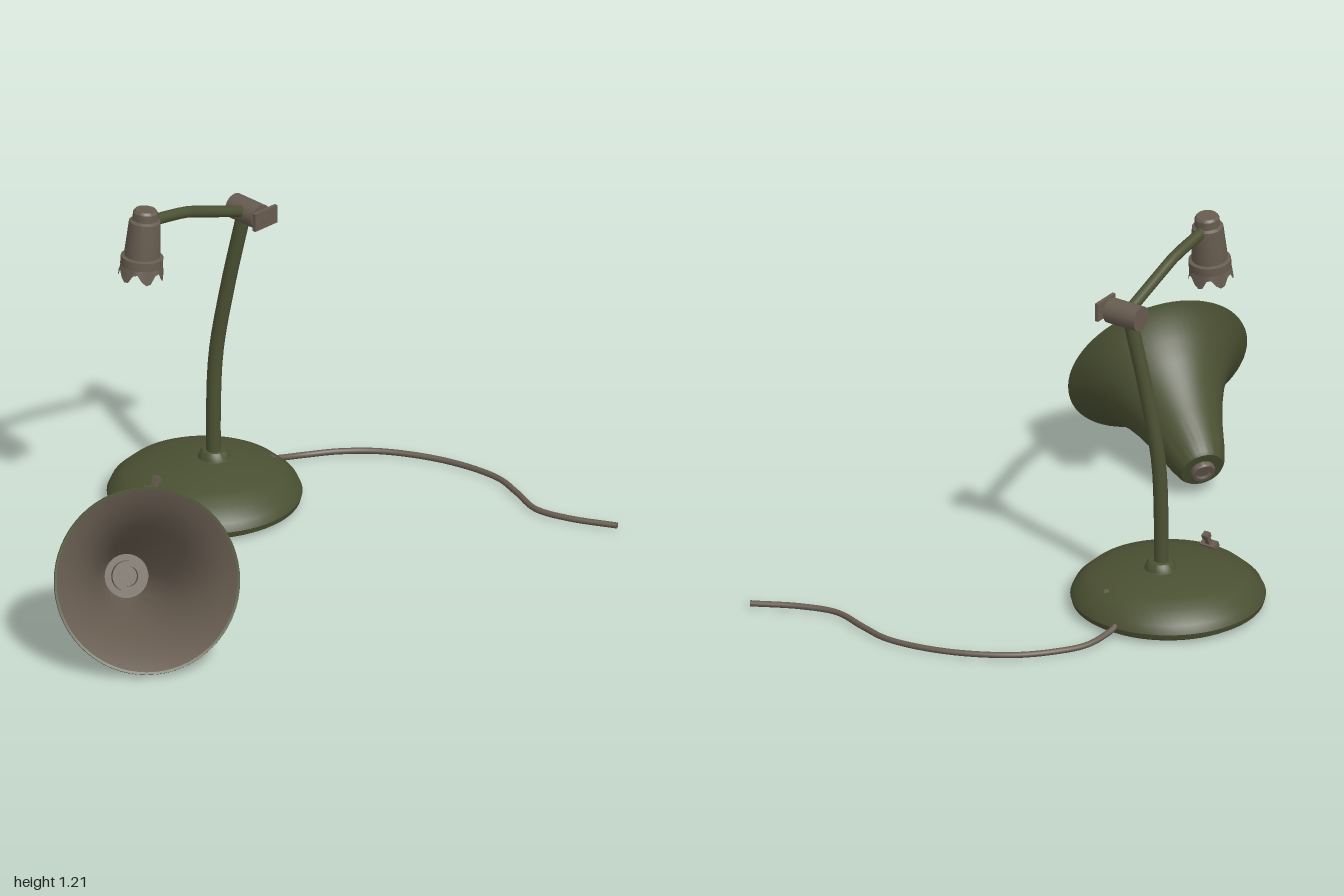
import * as THREE from 'three';
import { toCreasedNormals } from 'three/addons/utils/BufferGeometryUtils.js';

const V = (x, y, z) => new THREE.Vector3(x, y, z);

export function createModel() {
  const model = new THREE.Group();
  model.name = 'brokenDeskLamp';

  const green = new THREE.MeshStandardMaterial({ name: 'olive enamel', color: 0x4a5032 });
  const brown = new THREE.MeshStandardMaterial({ name: 'dull brown metal', color: 0x665b4f });
  const brownOpen = new THREE.MeshStandardMaterial({ name: 'dull brown open metal', color: 0x665b4f, side: THREE.DoubleSide });

  function add(parent, name, geometry, material, x = 0, y = 0, z = 0) {
    const mesh = new THREE.Mesh(geometry, material);
    mesh.name = name;
    mesh.position.set(x, y, z);
    parent.add(mesh);
    return mesh;
  }
  const lathe = (points, segments = 48, crease = 0.6) =>
    toCreasedNormals(new THREE.LatheGeometry(points.map(p => new THREE.Vector2(p[0], p[1])), segments), crease);
  const tube = (points, radius, steps, sides = 14) =>
    new THREE.TubeGeometry(new THREE.CatmullRomCurve3(points.map(p => V(...p))), steps, radius, sides);
  const up = V(0, 1, 0);

  // Weighted base: the dome leans back towards the stem
  const domeGeo = lathe([[0, 0.005], [0.29, 0.005], [0.31, 0.017], [0.315, 0.035], [0.303, 0.062],
    [0.26, 0.1], [0.2, 0.119], [0.1, 0.138], [0, 0.146]], 64);
  const pos = domeGeo.attributes.position;
  for (let i = 0; i < pos.count; i++) {
    const lift = Math.max(0, pos.getY(i) - 0.1) / 0.046;
    pos.setZ(i, pos.getZ(i) - 0.045 * lift);
  }
  add(model, 'base', domeGeo, green, -0.39, 0, -0.2);
  add(model, 'basePad', new THREE.CylinderGeometry(0.21, 0.21, 0.008, 48), brown, -0.39, 0.004, -0.2);
  add(model, 'stemCollar', lathe([[0.075, 0.13], [0.052, 0.143], [0.046, 0.16], [0.038, 0.168], [0, 0.168]], 32),
    green, -0.39, 0, -0.243);

  // Small stud on the back of the base
  const stud = add(model, 'baseStud', new THREE.SphereGeometry(0.032, 20, 10), brown, -0.31, 0.107, -0.41);
  stud.scale.y = 0.22;
  stud.quaternion.setFromUnitVectors(up, V(0.1, 1, -0.26).normalize());

  // Toggle switch on the front of the base
  const toggle = new THREE.Group();
  toggle.name = 'toggleSwitch';
  toggle.position.set(-0.39, 0.112, 0.035);
  toggle.rotation.x = -0.42;
  model.add(toggle);
  add(toggle, 'switchPlate', new THREE.BoxGeometry(0.056, 0.02, 0.03), brown);
  add(toggle, 'switchLever', new THREE.BoxGeometry(0.016, 0.05, 0.016), brown, 0, 0.028, 0);
  add(toggle, 'switchTip', new THREE.BoxGeometry(0.022, 0.018, 0.022), brown, 0, 0.043, 0);

  // Bent stem and forward arm
  add(model, 'stem', tube([[-0.39, 0.14, -0.24], [-0.39, 0.32, -0.24], [-0.384, 0.52, -0.246],
    [-0.35, 0.76, -0.264], [-0.3, 1.03, -0.288]], 0.024, 16), green);
  add(model, 'arm', tube([[-0.29, 1.045, -0.28], [-0.29, 1.115, -0.08], [-0.29, 1.135, -0.02],
    [-0.29, 1.162, 0.15]], 0.019, 10), green);

  // Elbow joint with its thumb plate
  const joint = add(model, 'elbowJoint', new THREE.CylinderGeometry(0.042, 0.042, 0.12, 24), brown, -0.29, 1.04, -0.295);
  joint.rotation.z = Math.PI / 2;
  const pin = add(model, 'elbowPin', new THREE.CylinderGeometry(0.014, 0.014, 0.04, 14), brown, -0.222, 1.042, -0.295);
  pin.rotation.z = Math.PI / 2;
  add(model, 'thumbPlate', new THREE.BoxGeometry(0.012, 0.062, 0.1), brown, -0.21, 1.044, -0.295);

  // Bulb socket with a jagged broken crown
  const socket = new THREE.Group();
  socket.name = 'bulbSocket';
  socket.position.set(-0.29, 1.09, 0.178);
  socket.rotation.x = -0.1;
  model.add(socket);
  add(socket, 'socketBody', lathe([[0, -0.05], [0.058, -0.05], [0.058, -0.02], [0.051, 0.08], [0.041, 0.086],
    [0.04, 0.112], [0.034, 0.12], [0, 0.12]], 28), brown);
  add(socket, 'socketRing', lathe([[0.05, -0.07], [0.069, -0.07], [0.069, -0.042], [0.05, -0.036]], 28), brown);
  const crown = new THREE.CylinderGeometry(0.066, 0.073, 0.055, 30, 1, true);
  const cp = crown.attributes.position;
  for (let i = 31; i < 62; i++) {
    const k = (i - 31) % 30;
    cp.setY(i, cp.getY(i) + [0, 0.004, 0.03, 0.034, 0.012][k % 5]);
  }
  crown.computeVertexNormals();
  add(socket, 'brokenCrown', crown, brownOpen, 0, -0.09, 0);

  // Fallen shade, its axis pointing out through the mouth
  const shade = new THREE.Group();
  shade.name = 'fallenShade';
  shade.position.set(0.295, 0.285, 0.74);
  shade.quaternion.setFromUnitVectors(up, V(0.74, 0.41, 0.525).normalize());
  model.add(shade);
  const bell = [[0.078, -0.445], [0.094, -0.4], [0.12, -0.3], [0.15, -0.21], [0.178, -0.145],
    [0.214, -0.085], [0.257, -0.035], [0.296, -0.004]];
  add(shade, 'shadeShell', lathe([[0.036, -0.455], [0.07, -0.455], ...bell, [0.303, 0], [0.302, 0.005], [0.294, 0.003]], 64), green);
  const inner = bell.map(([r, y]) => [r - 0.007, y + 0.003]).reverse();
  add(shade, 'shadeLining', lathe([[0.294, 0.003], ...inner, [0, -0.442]], 64), brown);
  add(shade, 'shadeNub', lathe([[0.026, -0.44], [0.026, -0.474], [0.036, -0.474], [0.04, -0.468], [0.04, -0.44]], 24), brownOpen);
  add(shade, 'shadeNubFloor', new THREE.CylinderGeometry(0.03, 0.03, 0.008, 24), brown, 0, -0.458, 0);
  add(shade, 'shadeInnerCollar', lathe([[0.05, -0.445], [0.05, -0.415], [0.034, -0.415], [0.034, -0.445]], 24), brown);

  // Power cable trailing from the back of the base
  add(model, 'cable', tube([[-0.395, 0.045, -0.49], [-0.393, 0.032, -0.53], [-0.37, 0.016, -0.63],
    [-0.31, 0.015, -0.73], [-0.21, 0.015, -0.83], [-0.02, 0.015, -0.926], [0.18, 0.015, -0.958],
    [0.3, 0.015, -0.928], [0.43, 0.015, -0.888], [0.55, 0.015, -0.917], [0.695, 0.015, -0.99]], 0.01, 90, 10), brown);
  const end = add(model, 'cableEnd', new THREE.CylinderGeometry(0.01, 0.01, 0.012, 10), brown, 0.691, 0.015, -0.988);
  end.quaternion.setFromUnitVectors(up, V(0.9, 0, -0.44).normalize());

  return model;
}
